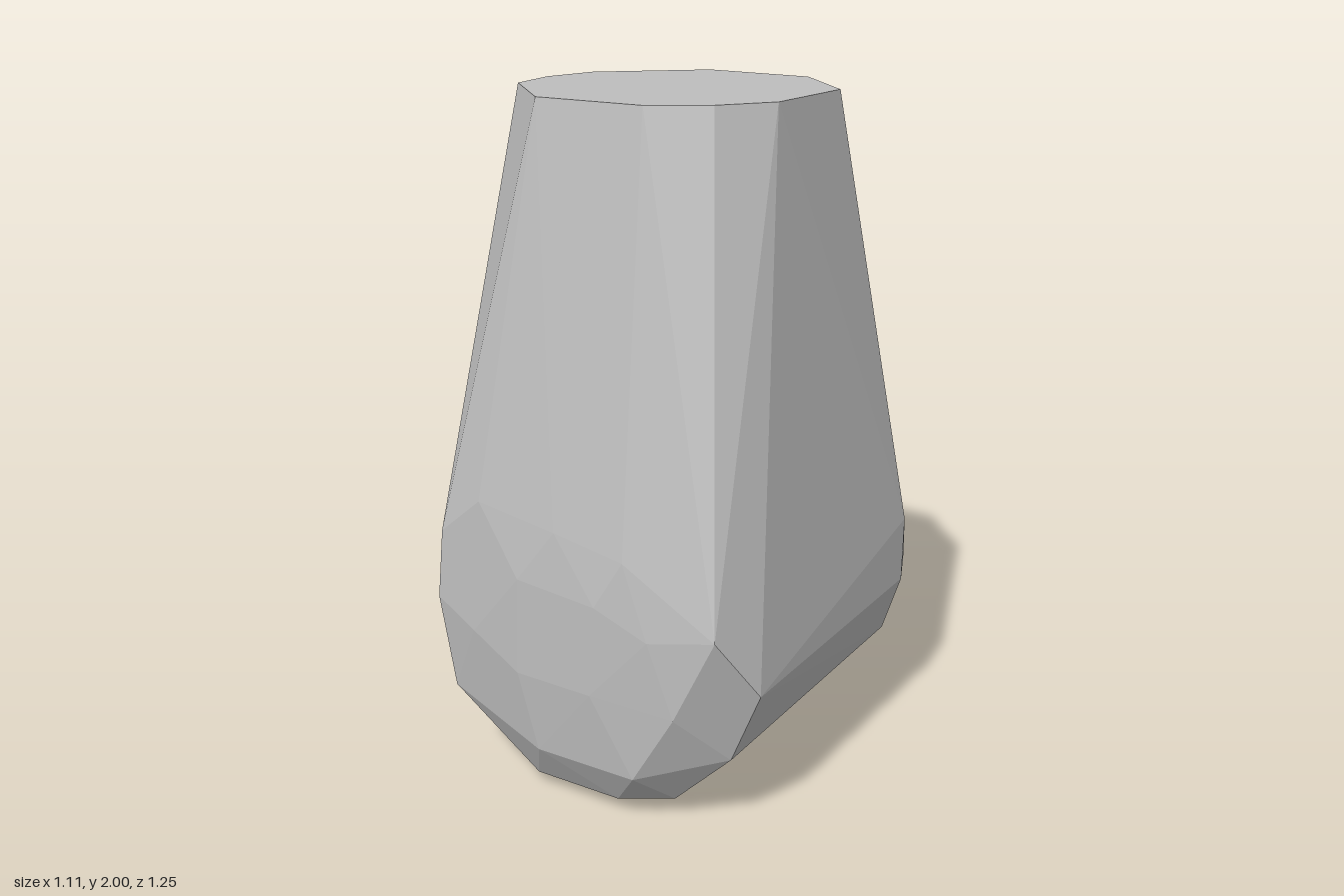
import * as THREE from 'three';
import { ConvexGeometry } from 'three/addons/geometries/ConvexGeometry.js';

export function createModel() {
  const group = new THREE.Group();
  const grey = new THREE.MeshStandardMaterial({ color: 0xbebebe });
  grey.name = 'stoneGrey';

  // Flat top outline, as x, z at y = 2
  const top = [
    [-0.16, -0.43], [0.19, -0.41], [0.42, -0.17], [0.42, 0.17], [0.32, 0.32],
    [0.17, 0.42], [-0.17, 0.42], [-0.42, 0.18], [-0.455, 0], [-0.42, -0.18],
  ].map(([x, z]) => [x, 2, z]);

  // Widest edge of the rounded front end, running under the belly
  const frontRim = [
    [-0.555, 0.68, 0.44], [-0.555, 0.46, 0.44], [-0.47, 0.25, 0.445], [-0.31, 0.1, 0.45],
    [-0.1, 0, 0.45], [0.09, 0, 0.455], [0.29, 0.065, 0.455], [0.47, 0.245, 0.45], [0.555, 0.46, 0.44],
  ];
  // Faceted dome of the front end
  const frontDome = [
    [-0.43, 0.77, 0.58], [-0.45, 0.56, 0.585], [-0.42, 0.27, 0.56], [-0.15, 0.04, 0.52],
    [0.14, 0.05, 0.525], [-0.08, 0.18, 0.605], [0.24, 0.18, 0.595], [0.37, 0.4, 0.59],
    [0.485, 0.65, 0.565], [-0.27, 0.9, 0.6], [0.0, 0.87, 0.612], [0.22, 0.83, 0.605],
    [-0.3, 0.5, 0.61], [0.3, 0.62, 0.61], [-0.13, 0.42, 0.627], [0.12, 0.42, 0.627],
    [0.14, 0.69, 0.627], [-0.12, 0.71, 0.627],
  ];

  // Widest edge of the rounded back end
  const backRim = [
    [-0.555, 0.66, -0.435], [-0.555, 0.46, -0.44], [-0.46, 0.24, -0.45], [-0.28, 0.07, -0.46],
    [-0.09, 0.012, -0.48], [0.12, 0.015, -0.49], [0.34, 0.12, -0.455], [0.49, 0.29, -0.445],
    [0.555, 0.48, -0.43], [0.555, 0.68, -0.435],
  ];
  // Faceted dome of the back end
  const backDome = [
    [-0.505, 0.55, -0.55], [-0.4, 0.8, -0.575], [-0.38, 0.28, -0.56], [-0.16, 0.08, -0.55],
    [0.1, 0.05, -0.545], [0.32, 0.2, -0.565], [0.505, 0.5, -0.55], [0.41, 0.74, -0.59],
    [-0.33, 0.52, -0.605], [-0.14, 0.25, -0.605], [0.12, 0.24, -0.605], [0.31, 0.45, -0.61],
    [0.26, 0.84, -0.598], [0.0, 0.88, -0.605], [-0.23, 0.85, -0.6],
    [-0.06, 0.45, -0.627], [0.15, 0.48, -0.624], [0.04, 0.75, -0.625],
  ];

  // One faceted convex body tapering from the rounded base to the flat top
  const points = [top, frontRim, frontDome, backRim, backDome].flat()
    .map((p) => new THREE.Vector3(...p));
  const body = new THREE.Mesh(new ConvexGeometry(points), grey);
  body.name = 'taperedBody';
  group.add(body);
  return group;
}
